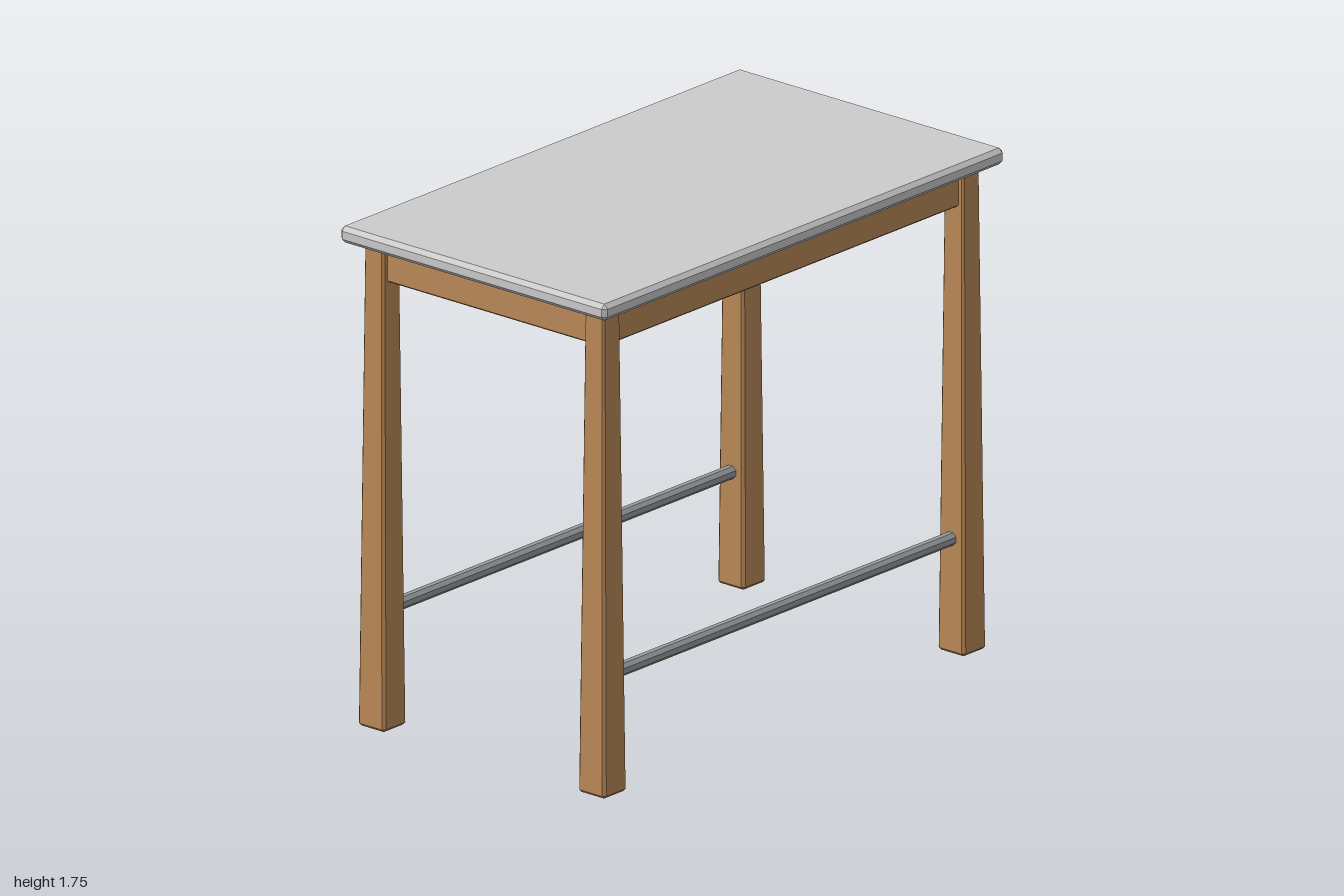
import * as THREE from 'three';
import { ConvexGeometry } from 'three/addons/geometries/ConvexGeometry.js';

const wood = new THREE.MeshStandardMaterial({ color: 0xbb8a58, flatShading: true });
const stone = new THREE.MeshStandardMaterial({ color: 0xcccccc, flatShading: true });
const metal = new THREE.MeshStandardMaterial({ color: 0x969b9e, flatShading: true });

// Box with chamfered edges; the top end can be narrowed by a taper factor in x and z.
function chamferBox(w, h, d, c, taperX = 1, taperZ = 1) {
  const points = [];
  for (const sx of [-1, 1]) for (const sy of [-1, 1]) for (const sz of [-1, 1]) {
    for (let axis = 0; axis < 3; axis++) {
      // each corner becomes three points, one lying on each adjoining face
      const x = sx * (w / 2 - (axis === 0 ? 0 : c));
      const y = sy * (h / 2 - (axis === 1 ? 0 : c));
      const z = sz * (d / 2 - (axis === 2 ? 0 : c));
      const t = y / h + 0.5;
      points.push(new THREE.Vector3(
        x * THREE.MathUtils.lerp(1, taperX, t), y, z * THREE.MathUtils.lerp(1, taperZ, t)));
    }
  }
  return new ConvexGeometry(points);
}

export function createModel() {
  const table = new THREE.Group();
  table.name = 'table';

  const add = (name, geometry, material, x, y, z) => {
    const mesh = new THREE.Mesh(geometry, material);
    mesh.name = name;
    mesh.position.set(x, y, z);
    table.add(mesh);
  };

  const legX = 0.897, legZ = 0.48;

  // Table top
  add('tableTop', chamferBox(2, 0.058, 1.16, 0.015), stone, 0, 1.721, 0);

  // Tapered legs, wider at the foot
  const leg = chamferBox(0.116, 1.692, 0.118, 0.01, 0.73, 0.71);
  for (const sx of [-1, 1]) for (const sz of [-1, 1]) {
    add(`${sz > 0 ? 'front' : 'back'}${sx > 0 ? 'Left' : 'Right'}Leg`, leg, wood,
      sx * legX, 0.846, sz * legZ);
  }

  // Aprons under the top and the long foot rails
  const longApron = chamferBox(1.74, 0.127, 0.045, 0.006);
  const sideApron = chamferBox(0.045, 0.127, 0.9, 0.006);
  const rail = chamferBox(1.74, 0.044, 0.044, 0.0125);
  for (const s of [-1, 1]) {
    const end = s > 0 ? 'front' : 'back';
    add(`${end}Apron`, longApron, wood, 0, 1.628, s * legZ);
    add(`${end}FootRail`, rail, metal, 0, 0.402, s * legZ);
    add(`${s > 0 ? 'left' : 'right'}Apron`, sideApron, wood, s * legX, 1.628, 0);
  }

  return table;
}
